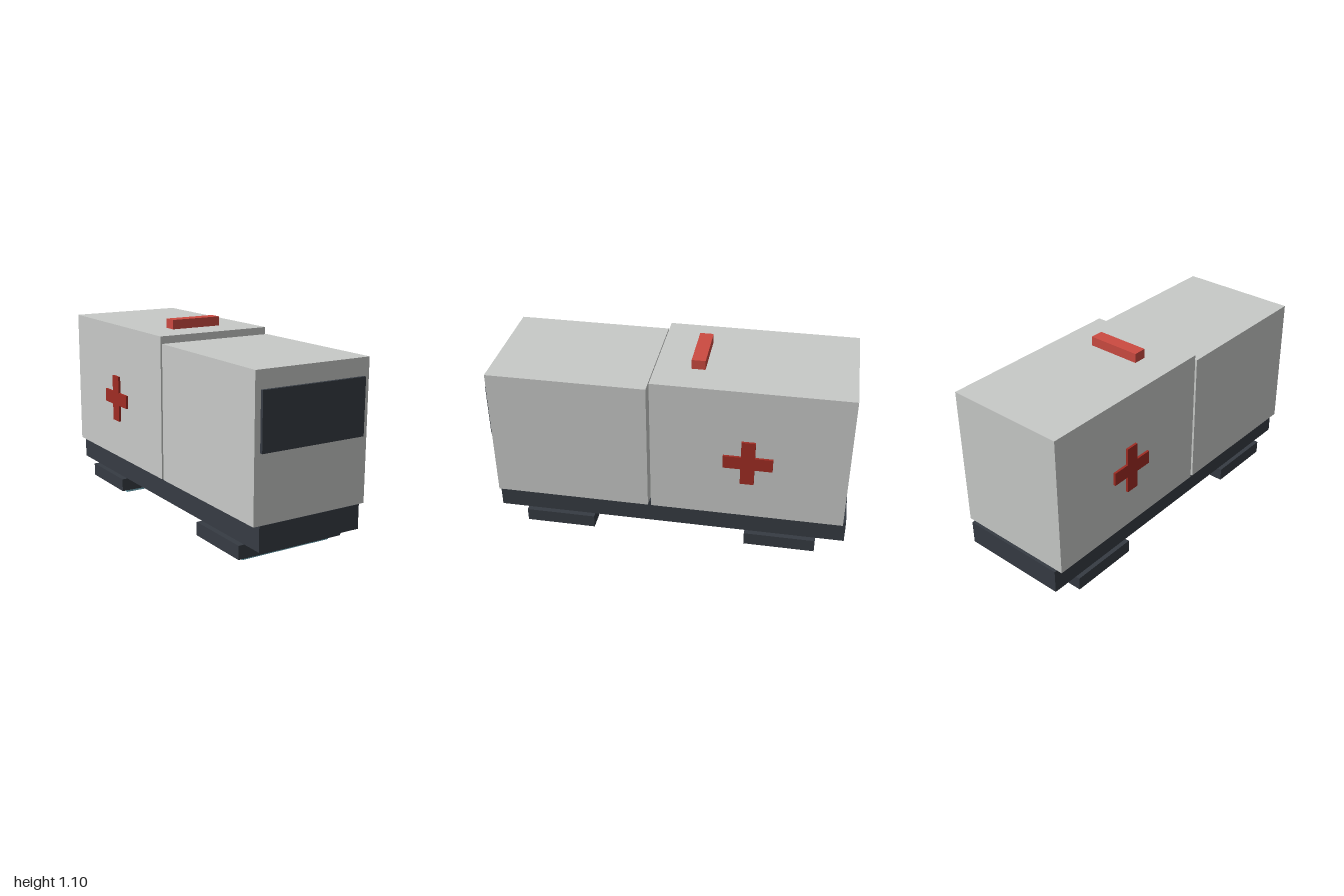
import * as THREE from 'three';

const mat = (name, color) => {
  const m = new THREE.MeshStandardMaterial({ color });
  m.name = name;
  return m;
};

export function createModel() {
  const root = new THREE.Group();
  root.name = 'hoverAmbulance';

  const shell = mat('lightGrey', 0xc8cac8);
  const dark = mat('darkSlate', 0x363b43);
  const beaconRed = mat('beaconRed', 0xcc4a41);
  const crossRed = mat('crossRed', 0xa02c23);
  const glow = mat('glowBlue', 0x7ab6c6);

  // Box given by its limits on each axis
  const box = (name, material, [x0, x1], [y0, y1], [z0, z1]) => {
    const mesh = new THREE.Mesh(new THREE.BoxGeometry(x1 - x0, y1 - y0, z1 - z0), material);
    mesh.position.set((x0 + x1) / 2, (y0 + y1) / 2, (z0 + z1) / 2);
    mesh.name = name;
    root.add(mesh);
  };

  // Body
  box('chassis', dark, [-0.31, 0.31], [0.113, 0.247], [-1, 0.985]);
  box('cab', shell, [-0.343, 0.343], [0.247, 1.009], [0.107, 0.983]);
  box('rearCompartment', shell, [-0.343, 0.343], [0.247, 1.047], [-0.983, 0.09]);
  box('windshield', dark, [-0.31, 0.31], [0.609, 0.914], [0.983, 1]);
  box('beacon', beaconRed, [-0.153, 0.153], [1.047, 1.1], [-0.18, -0.105]);

  // Hover pads with glowing undersides
  for (const [end, z] of [['front', 0.632], ['rear', -0.641]]) {
    box(end + 'HoverPad', dark, [-0.325, 0.325], [0.025, 0.1], [z - 0.2, z + 0.2]);
    box(end + 'PadGlow', glow, [-0.275, 0.275], [0, 0.02], [z - 0.16, z + 0.16]);
  }

  // Medical cross on each side
  const a = 0.135, b = 0.038;
  const outline = [[b, b], [b, a], [-b, a], [-b, b], [-a, b], [-a, -b],
    [-b, -b], [-b, -a], [b, -a], [b, -b], [a, -b], [a, b]];
  const crossGeo = new THREE.ExtrudeGeometry(
    new THREE.Shape(outline.map(([x, y]) => new THREE.Vector2(x, y))),
    { depth: 0.013, bevelEnabled: false });
  for (const [side, s] of [['left', 1], ['right', -1]]) {
    const cross = new THREE.Mesh(crossGeo, crossRed);
    cross.name = side + 'Cross';
    cross.rotation.y = s * Math.PI / 2;
    cross.position.set(s * 0.343, 0.608, -0.444);
    root.add(cross);
  }

  return root;
}
